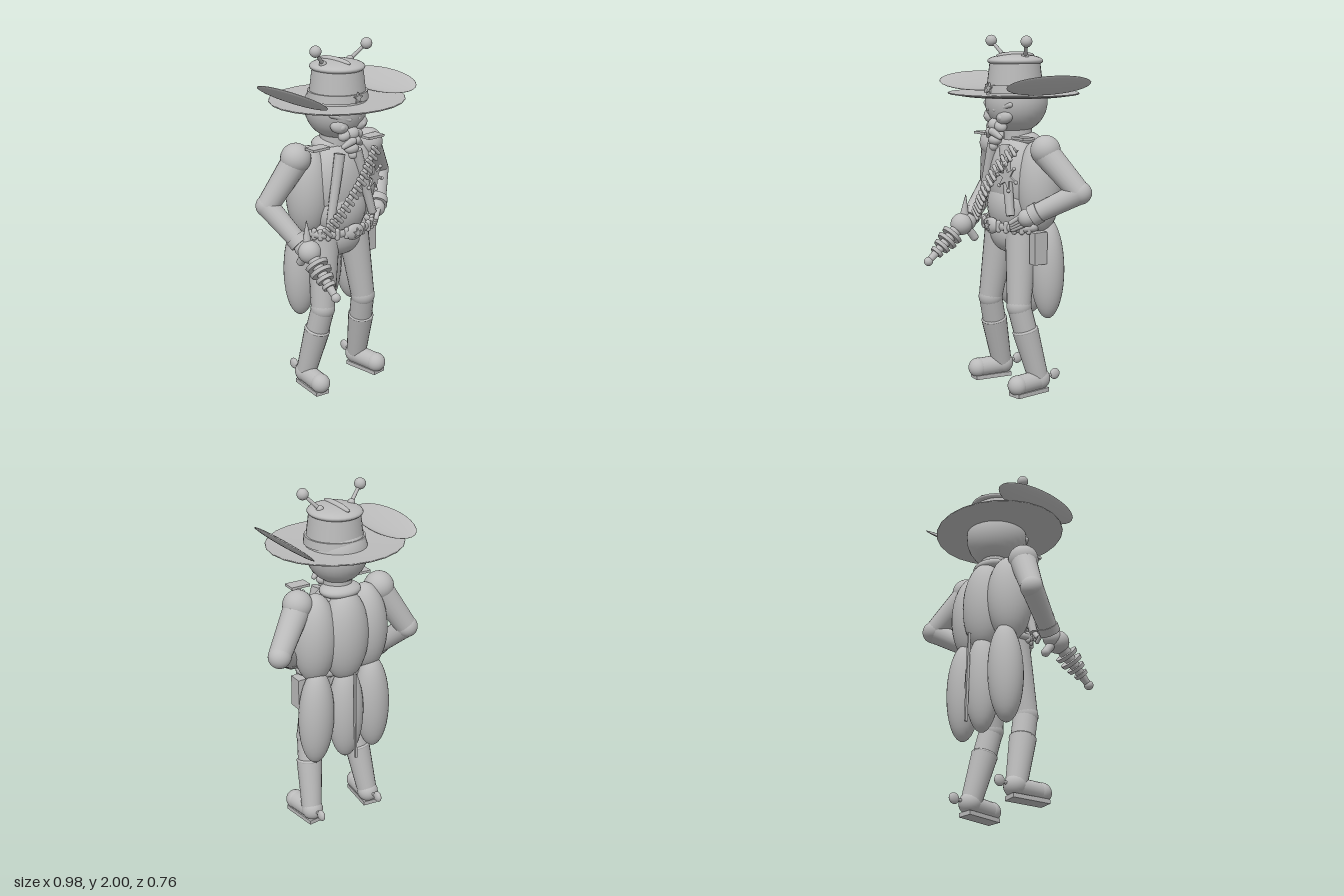
import * as THREE from 'three';

const grey = new THREE.MeshStandardMaterial({ color: 0xbbbbbb });
grey.name = 'plain grey';
const V = (a) => new THREE.Vector3(...a);
const UP = new THREE.Vector3(0, 1, 0);

export function createModel() {
  const model = new THREE.Group();
  model.name = 'beetleGunslinger';

  const add = (name, geo, pos = [0, 0, 0], rot = [0, 0, 0]) => {
    const m = new THREE.Mesh(geo, grey);
    m.name = name;
    m.position.set(...pos);
    m.rotation.set(...rot);
    model.add(m);
    return m;
  };
  // ellipsoid: r is a radius or three radii
  const ball = (name, pos, r, rot) => {
    const m = add(name, new THREE.SphereGeometry(1, 28, 18), pos, rot);
    Array.isArray(r) ? m.scale.set(...r) : m.scale.setScalar(r);
    return m;
  };
  // tapered rod from a to b
  const rod = (name, a, b, ra, rb = ra, sides = 20) => {
    const d = V(b).sub(V(a));
    const m = add(name, new THREE.CylinderGeometry(rb, ra, d.length(), sides));
    m.position.copy(V(a).addScaledVector(d, 0.5));
    m.quaternion.setFromUnitVectors(UP, d.normalize());
    return m;
  };
  // rod with rounded ends
  const limb = (name, a, b, ra, rb = ra) => {
    rod(name, a, b, ra, rb);
    ball(name + 'Start', a, ra);
    ball(name + 'End', b, rb);
  };
  const star = (name, pos, points, outer, inner, rot) => {
    const s = new THREE.Shape();
    for (let i = 0; i < points * 2; i++) {
      const r = i % 2 ? inner : outer, t = Math.PI / 2 + (i * Math.PI) / points;
      s[i ? 'lineTo' : 'moveTo'](r * Math.cos(t), r * Math.sin(t));
    }
    return add(name, new THREE.ExtrudeGeometry(s, { depth: 0.012, bevelEnabled: false }), pos, rot);
  };
  const lathe = (name, pts, pos, seg = 32) =>
    add(name, new THREE.LatheGeometry(pts.map((p) => new THREE.Vector2(...p)), seg), pos);

  // Hat
  const brim = lathe('hatBrim', [[0, 0], [0.3, 0.004], [0.385, 0.016], [0.388, 0.02], [0.385, 0.024], [0.3, 0.013], [0, 0.01]],
    [-0.012, 1.662, -0.022], 24);
  brim.scale.z = 0.925;
  rod('hatCrown', [-0.005, 1.665, -0.027], [-0.005, 1.86, -0.027], 0.163, 0.14, 32);
  rod('hatBand', [-0.005, 1.685, -0.027], [-0.005, 1.73, -0.027], 0.171, 0.166, 32);
  ball('hatTop', [-0.005, 1.86, -0.03], [0.15, 0.037, 0.158]);
  ball('hatRidge', [-0.013, 1.89, -0.035], [0.021, 0.02, 0.125]);
  star('hatStar', [-0.003, 1.712, 0.137], 5, 0.032, 0.014);
  ball('hatFlapRight', [-0.337, 1.737, -0.01], [0.084, 0.014, 0.28], [0, 0.04, -0.68]);
  ball('hatFlapLeft', [0.317, 1.737, -0.04], [0.084, 0.014, 0.28], [0, 0.04, 0.7]);

  // Antennae
  for (const [base, tip] of [[[-0.112, 1.885, -0.023], [-0.19, 1.968, 0.012]], [[0.09, 1.885, -0.033], [0.169, 1.968, 0.012]]]) {
    rod('antenna', base, tip, 0.011, 0.009, 12);
    ball('antennaBase', base, 0.021);
    ball('antennaTip', tip, 0.032);
  }

  // Head and face
  ball('head', [-0.01, 1.635, -0.04], [0.17, 0.175, 0.178]);
  ball('collar', [-0.01, 1.425, -0.075], [0.12, 0.045, 0.1]);
  rod('neck', [-0.01, 1.36, -0.05], [-0.01, 1.52, -0.05], 0.08);
  for (const s of [-1, 1]) {
    const x = (v) => -0.012 + s * v;
    ball('eye', [x(0.075), 1.555, 0.085], [0.052, 0.037, 0.035], [0, s * 0.35, s * 0.25]);
    ball('pupil', [x(0.072), 1.553, 0.11], [0.02, 0.018, 0.015]);
    limb('brow', [x(0.03), 1.595, 0.118], [x(0.125), 1.625, 0.08], 0.014);
    ball('cheek', [x(0.04), 1.505, 0.09], [0.042, 0.03, 0.035], [0, 0, -s * 0.5]);
    limb('moustache', [x(0.015), 1.475, 0.125], [x(0.06), 1.445, 0.105], 0.023, 0.014);
  }
  ball('snout', [-0.012, 1.51, 0.095], [0.045, 0.04, 0.045]);
  ball('chin', [-0.012, 1.425, 0.1], [0.045, 0.03, 0.035]);
  ball('neckerchiefKnot', [-0.012, 1.39, 0.11], 0.024);

  // Body, wing-case coat and coat tails
  ball('chest', [-0.01, 1.2, -0.03], [0.19, 0.25, 0.135]);
  ball('belly', [-0.01, 1.05, 0], [0.165, 0.16, 0.115]);
  ball('hips', [-0.012, 0.9, -0.005], [0.17, 0.12, 0.1]);
  ball('coatBack', [-0.01, 1.17, -0.125], [0.14, 0.27, 0.115]);
  ball('coatTailMiddle', [-0.01, 0.7, -0.14], [0.105, 0.285, 0.09]);
  for (const s of [-1, 1]) {
    ball('coatSide', [-0.01 + s * 0.165, 1.17, -0.08], [0.125, 0.26, 0.125], [0, 0, s * 0.03]);
    ball('coatTailSide', [-0.01 + s * 0.185, 0.71, -0.125], [0.103, 0.29, 0.095], [0, 0, s * 0.03]);
    rod('lapel', [-0.015 + s * 0.06, 1.4, 0.075], [-0.01 + s * 0.155, 1.02, 0.1], 0.032, 0.024, 8);
    add('epaulette', new THREE.BoxGeometry(0.115, 0.014, 0.075), [-0.01 + s * 0.197, 1.448, 0.045]);
  }
  add('coatSeam', new THREE.BoxGeometry(0.012, 0.525, 0.016), [-0.01, 0.715, -0.241], [0.03, 0, 0]);

  // Bandolier with cartridges laid across it
  const sash = new THREE.CatmullRomCurve3([[-0.21, 0.97, 0.1], [-0.1, 1.09, 0.125], [0.04, 1.25, 0.125], [0.18, 1.395, 0.08]].map(V));
  add('bandolier', new THREE.TubeGeometry(sash, 30, 0.016, 8));
  for (let i = 0; i < 15; i++) {
    const p = sash.getPoint((i + 0.5) / 15);
    limb('cartridge', [p.x - 0.022, p.y + 0.02, p.z + 0.014], [p.x + 0.022, p.y - 0.02, p.z + 0.014], 0.011);
  }

  // Badge
  star('badge', [0.14, 1.235, 0.115], 6, 0.075, 0.028, [0, 0.25, 0.2]);
  for (let i = 0; i < 6; i++) {
    const t = Math.PI / 2 + 0.2 + (i * Math.PI) / 3;
    ball('badgeTip', [0.14 + 0.072 * Math.cos(t), 1.235 + 0.075 * Math.sin(t), 0.122 - 0.018 * Math.cos(t)], 0.011);
  }

  // Belt, beads, buckle and holster
  const belt = add('belt', new THREE.TorusGeometry(1, 0.11, 10, 48), [-0.005, 0.95, 0], [Math.PI / 2, 0, 0]);
  belt.scale.set(0.205, 0.12, 0.2);
  for (let i = 0; i < 11; i++) {
    const t = ((i - 5) * Math.PI) / 11;
    const x = -0.005 + 0.21 * Math.sin(t), z = 0.125 * Math.cos(t);
    limb('beltLoop', [x, 0.93, z], [x, 0.97, z], 0.015);
  }
  ball('buckle', [-0.012, 0.948, 0.125], [0.064, 0.046, 0.028]);
  star('buckleStar', [-0.012, 0.948, 0.145], 5, 0.03, 0.013);
  add('holster', new THREE.BoxGeometry(0.055, 0.18, 0.082), [0.228, 0.84, -0.03]);

  // Left arm, hand on hip
  ball('leftShoulder', [0.25, 1.382, -0.06], 0.083);
  rod('leftUpperArm', [0.25, 1.37, -0.06], [0.425, 1.16, -0.165], 0.076, 0.062);
  ball('leftElbow', [0.425, 1.16, -0.168], 0.064);
  rod('leftForearm', [0.425, 1.16, -0.165], [0.25, 1.03, 0.02], 0.062, 0.052);
  rod('leftCuff', [0.275, 1.05, -0.005], [0.245, 1.025, 0.025], 0.06);
  ball('leftHand', [0.225, 1.015, 0.045], 0.05);
  for (let i = 0; i < 4; i++) {
    limb('leftFinger', [0.215, 1.025 - i * 0.016, 0.075 - i * 0.008], [0.165, 0.985 - i * 0.013, 0.11 - i * 0.004], 0.014);
  }

  // Right arm, holding the ray gun
  ball('rightShoulder', [-0.275, 1.382, -0.06], 0.085);
  rod('rightUpperArm', [-0.275, 1.37, -0.06], [-0.425, 1.125, -0.125], 0.076, 0.062);
  ball('rightElbow', [-0.425, 1.125, -0.128], 0.063);
  rod('rightForearm', [-0.425, 1.125, -0.125], [-0.35, 0.945, 0.06], 0.062, 0.05);
  rod('rightCuff', [-0.36, 0.97, 0.035], [-0.348, 0.94, 0.065], 0.058);
  ball('rightHand', [-0.34, 0.92, 0.085], 0.052);

  // Ray gun: chamber, ringed barrel, tip, grip and fin
  const gunA = [-0.336, 0.908, 0.128], gunB = [-0.336, 0.71, 0.35];
  const along = (t) => V(gunA).lerp(V(gunB), t).toArray();
  ball('gunChamber', gunA, 0.064);
  rod('gunBarrel', gunA, gunB, 0.04, 0.018);
  [[0.3, 0.066], [0.45, 0.064], [0.6, 0.052], [0.75, 0.04]].forEach(([t, r]) => {
    rod('gunRing', along(t - 0.035), along(t + 0.035), r, r * 0.92, 24);
  });
  ball('gunTip', gunB, 0.026);
  limb('gunGrip', [-0.336, 0.9, 0.1], [-0.33, 0.825, 0.045], 0.024);
  rod('gunFin', [-0.336, 0.94, 0.11], [-0.333, 1.08, 0.1], 0.03, 0.002, 10);

  // Legs, boots and spurs
  for (const s of [-1, 1]) {
    const p = (x, y, z) => [-0.017 + s * x, y, z];
    rod('thigh', p(0.105, 0.93, -0.01), p(0.15, 0.5, 0.035), 0.092, 0.068);
    ball('hipJoint', p(0.105, 0.91, -0.01), 0.09);
    ball('knee', p(0.15, 0.5, 0.035), 0.07);
    rod('shin', p(0.15, 0.5, 0.035), p(0.165, 0.35, 0), 0.067, 0.067);
    rod('bootShaft', p(0.165, 0.36, 0.002), p(0.193, 0.08, -0.068), 0.074, 0.058);
    ball('bootTop', p(0.165, 0.36, 0.002), [0.075, 0.02, 0.075], [0.24, 0, s * 0.1]);
    ball('heel', p(0.193, 0.075, -0.075), 0.062);
    rod('foot', p(0.193, 0.068, -0.075), p(0.213, 0.064, 0.085), 0.055, 0.054);
    ball('toe', p(0.213, 0.064, 0.085), 0.056);
    add('sole', new THREE.BoxGeometry(0.085, 0.024, 0.225), p(0.203, 0.012, 0.0), [0, s * 0.12, 0]);
    rod('spurStem', p(0.193, 0.08, -0.12), p(0.195, 0.085, -0.18), 0.01, 0.01, 10);
    ball('spur', p(0.195, 0.086, -0.18), [0.018, 0.032, 0.032]);
  }
  return model;
}
